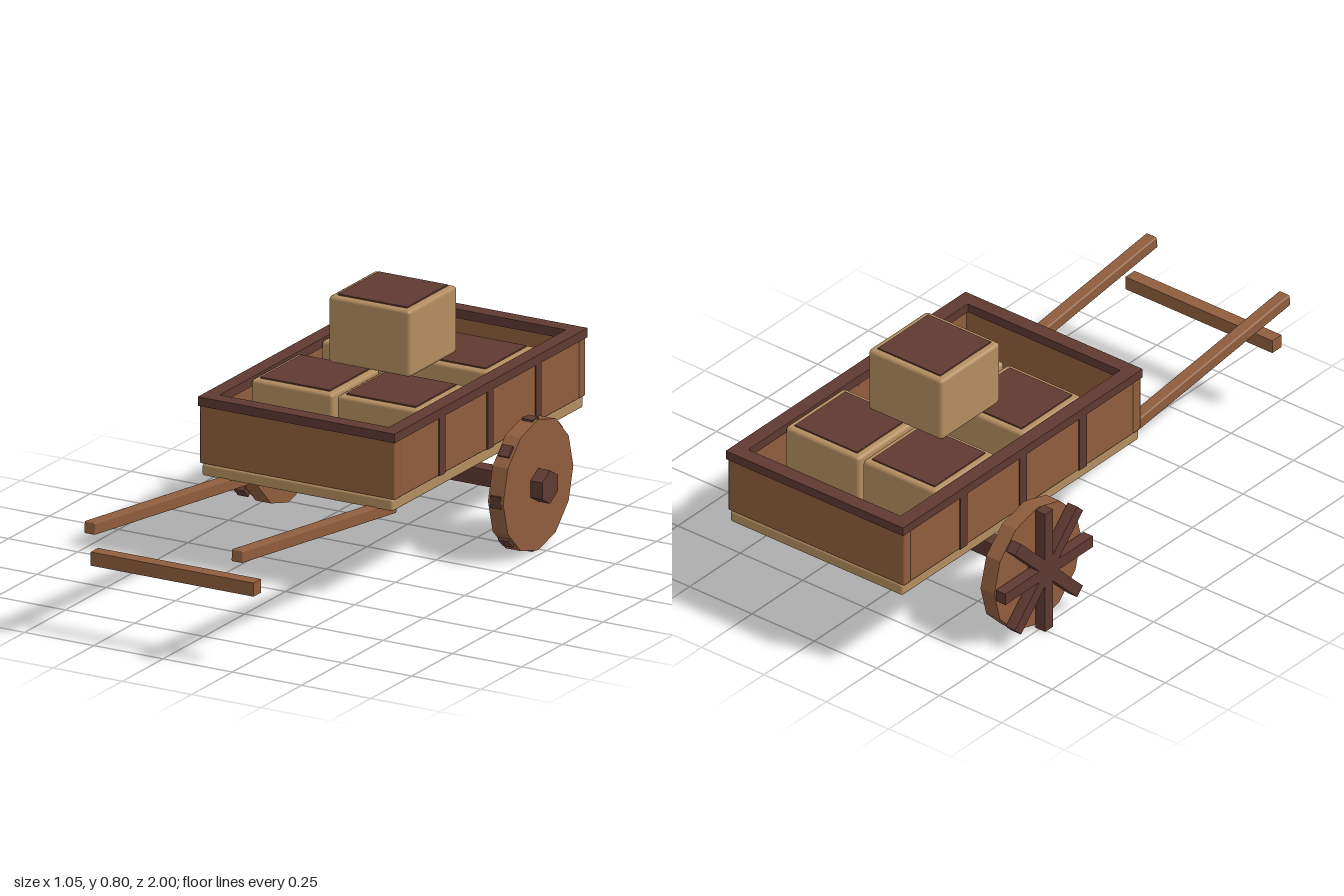
import * as THREE from 'three';
import { RoundedBoxGeometry } from 'three/addons/geometries/RoundedBoxGeometry.js';

export function createModel() {
  const cart = new THREE.Group();
  cart.name = 'handcart';

  const paint = (name, color) => {
    const m = new THREE.MeshStandardMaterial({ color });
    m.name = name;
    return m;
  };
  const wood = paint('wood brown', 0x8f5d3c);
  const dark = paint('dark wood', 0x5e3a31);
  const tan = paint('pale wood', 0xb38e60);

  const add = (parent, name, geometry, material, x, y, z) => {
    const mesh = new THREE.Mesh(geometry, material);
    mesh.name = name;
    mesh.position.set(x, y, z);
    parent.add(mesh);
    return mesh;
  };
  // Plain or softly bevelled box given by its centre and size
  const box = (parent, name, material, [w, h, d], [x, y, z], bevel = 0) =>
    add(parent, name, bevel ? new RoundedBoxGeometry(w, h, d, 1, bevel) : new THREE.BoxGeometry(w, h, d),
      material, x, y, z);
  // Faceted disc with its axis along x
  const disc = (radius, width, sides, turn = 0) => {
    const g = new THREE.CylinderGeometry(radius, radius, width, sides).rotateY(turn).rotateZ(Math.PI / 2).toNonIndexed();
    g.computeVertexNormals();
    return g;
  };

  // Cart bed: floor and four walls
  const midZ = -0.407;
  box(cart, 'floor', tan, [0.69, 0.04, 1.17], [0, 0.32, midZ], 0.008);
  for (const s of [1, -1]) {
    box(cart, 'sideWall', wood, [0.036, 0.195, 1.1], [s * 0.333, 0.4375, midZ], 0.004);
    box(cart, 'endWall', wood, [0.704, 0.195, 0.036], [0, 0.4375, midZ + s * 0.567], 0.004);
    // Upright battens on the sides
    for (const z of [-0.11, -0.405, -0.7])
      box(cart, 'batten', dark, [0.04, 0.19, 0.035], [s * 0.335, 0.435, z]);
    // Rim boards
    box(cart, 'sideRim', dark, [0.05, 0.03, 1.184], [s * 0.33, 0.545, -0.408]);
    box(cart, 'endRim', dark, [0.612, 0.03, 0.05], [0, 0.545, -0.408 + s * 0.567]);
  }

  // Crates with lids
  const crate = (x, base, z) => {
    const g = new THREE.Group();
    g.name = 'crate';
    g.position.set(x, base, z);
    box(g, 'crateBody', tan, [0.296, 0.22, 0.292], [0, 0.11, 0], 0.012);
    box(g, 'crateLid', dark, [0.25, 0.008, 0.25], [0, 0.2205, 0], 0);
    cart.add(g);
  };
  for (const x of [0.155, -0.155]) for (const z of [-0.197, -0.627]) crate(x, 0.338, z);
  crate(0, 0.576, -0.408);

  // Axle and wheels
  const axleY = 0.217, axleZ = -0.487;
  box(cart, 'axle', dark, [0.92, 0.055, 0.055], [0, axleY, axleZ]);
  const wheel = (name, discX, spokeX, hubX) => {
    const g = new THREE.Group();
    g.name = name;
    g.position.set(0, axleY, axleZ);
    add(g, 'wheelDisc', disc(0.215, 0.055, 12), wood, discX, 0, 0);
    add(g, 'hub', disc(0.055, 0.09, 6, Math.PI / 6), dark, hubX, 0, 0);
    for (let i = 0; i < 4; i++)
      box(g, 'spoke', dark, [0.038, 0.433, 0.04], [spokeX, 0, 0]).rotation.x = i * Math.PI / 4;
    cart.add(g);
  };
  wheel('leftWheel', 0.451, 0.45, 0.476);
  wheel('rightWheel', -0.451, -0.505, -0.445);

  // Pulling shafts and crossbar
  for (const s of [1, -1])
    box(cart, 'shaft', wood, [0.042, 0.04, 0.953], [s * 0.266, 0.327, 0.525], 0.005).rotation.x = -0.12;
  box(cart, 'crossbar', wood, [0.588, 0.045, 0.045], [0, 0.262, 0.922]);

  return cart;
}
